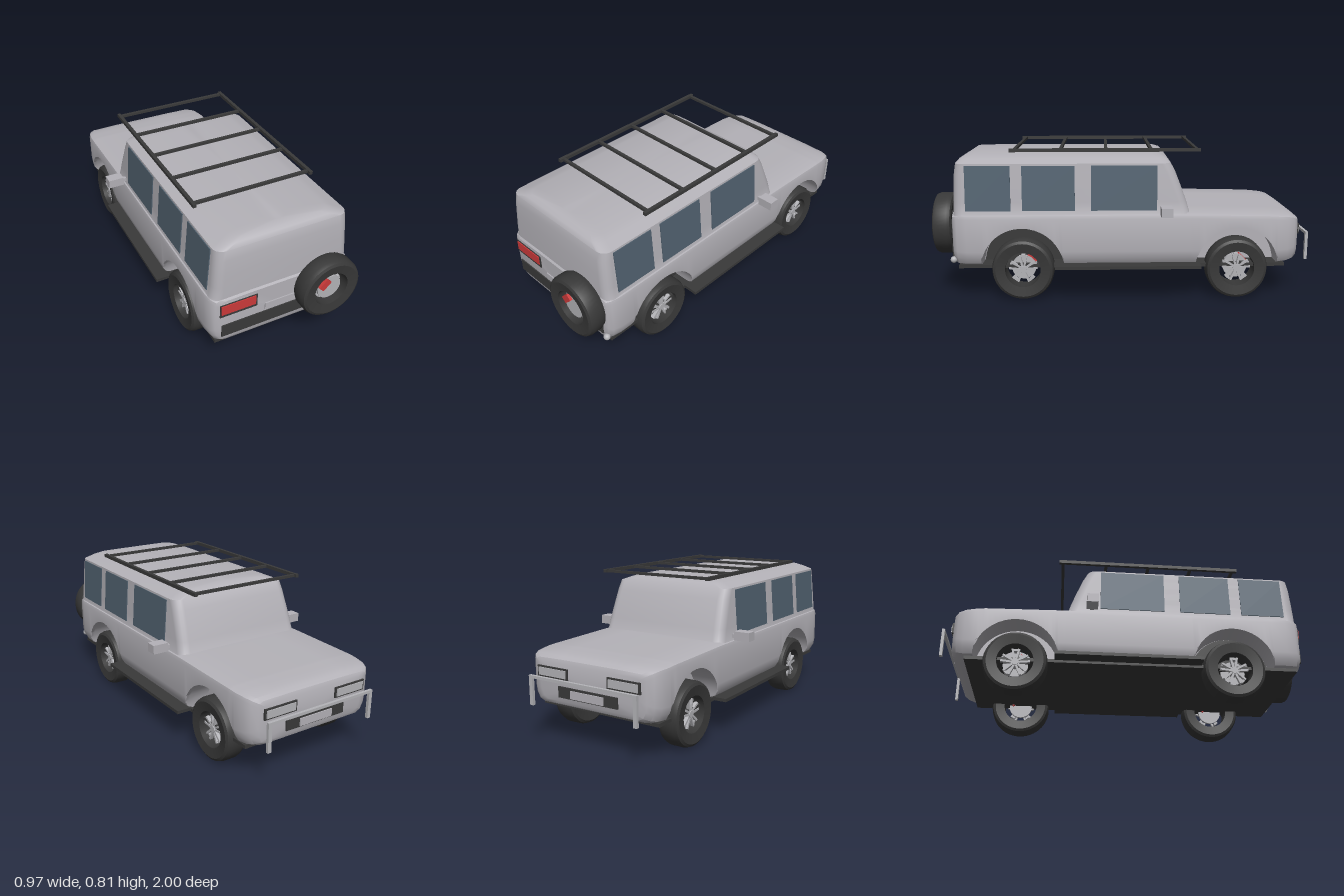
import * as THREE from 'three';
import { toCreasedNormals } from 'three/addons/utils/BufferGeometryUtils.js';

const mat = (name, color, side = THREE.FrontSide) => {
  const m = new THREE.MeshStandardMaterial({ color, side });
  m.name = name;
  return m;
};

// skin a list of closed rings and cap both ends
function loft(rings) {
  const n = rings[0].length, pos = [], idx = [];
  rings.forEach(r => r.forEach(p => pos.push(...p)));
  for (let i = 0; i < rings.length - 1; i++) {
    for (let j = 0; j < n; j++) {
      const k = (j + 1) % n;
      const a = i * n + j, b = i * n + k, c = b + n, d = a + n;
      idx.push(a, b, c, a, c, d);
    }
  }
  [0, rings.length - 1].forEach(e => {
    const c = pos.length / 3;
    pos.push(...[0, 1, 2].map(q => rings[e].reduce((s, p) => s + p[q], 0) / n));
    for (let j = 0; j < n; j++) {
      const a = e * n + j, b = e * n + (j + 1) % n;
      idx.push(...(e ? [c, a, b] : [c, b, a]));
    }
  });
  const g = new THREE.BufferGeometry();
  g.setAttribute('position', new THREE.Float32BufferAttribute(pos, 3));
  g.setIndex(idx);
  return toCreasedNormals(g, 0.6);
}

export function createModel() {
  const paint = mat('body paint', 0xb4b2b8);
  const dark = mat('dark trim', 0x3a3a3a);
  const rubber = mat('tyre rubber', 0x383838);
  const metal = mat('light metal', 0xb4b4b8);
  const glass = mat('window glass', 0x526270);
  const red = mat('red', 0xcc3a3a);

  const car = new THREE.Group();
  const add = (parent, name, geo, m, x = 0, y = 0, z = 0) => {
    const mesh = new THREE.Mesh(geo, m);
    mesh.name = name;
    mesh.position.set(x, y, z);
    parent.add(mesh);
    return mesh;
  };
  const box = (name, m, x0, x1, y0, y1, z0, z1) => add(car, name,
    new THREE.BoxGeometry(x1 - x0, y1 - y0, z1 - z0), m,
    (x0 + x1) / 2, (y0 + y1) / 2, (z0 + z1) / 2);

  // lower body: cross-sections along z, lifted over the wheels
  const wheelZ = [-0.61, 0.53], archR = 0.218, archY = 0.176;
  const keys = [ // z, half width, bottom, top
    [-0.945, 0.30, 0.23, 0.415], [-0.937, 0.335, 0.212, 0.435], [-0.915, 0.362, 0.2, 0.448],
    [-0.88, 0.377, 0.19, 0.456], [-0.83, 0.387, 0.187, 0.46], [-0.78, 0.39, 0.187, 0.464],
    [-0.36, 0.39, 0.187, 0.472], [0.82, 0.39, 0.187, 0.472], [0.87, 0.38, 0.189, 0.47],
    [0.89, 0.365, 0.198, 0.465], [0.898, 0.345, 0.215, 0.455]];
  const zs = keys.map(k => k[0]);
  wheelZ.forEach(c => {
    for (let i = 0; i <= 20; i++) zs.push(c - archR * Math.cos(Math.PI * i / 20));
  });
  zs.sort((a, b) => a - b);
  const bodyRings = zs.map(z => {
    let i = 0;
    while (i < keys.length - 2 && z > keys[i + 1][0]) i++;
    const f = (z - keys[i][0]) / (keys[i + 1][0] - keys[i][0]);
    const [w, b, t] = [1, 2, 3].map(q => THREE.MathUtils.lerp(keys[i][q], keys[i + 1][q], f));
    const s = w / 0.39;
    const up = y => Math.max(y, ...wheelZ.map(c =>
      archY + Math.sqrt(Math.max(0, archR ** 2 - (z - c) ** 2))));
    const half = [[0, b], [0.25 * s, b], [0.2501 * s, up(b)], [0.33 * s, up(b)],
      [0.365 * s, up(b + 0.013)], [0.384 * s, up(b + 0.045)], [w, up(b + 0.08)],
      [w, t - 0.03], [0.385 * s, t - 0.012], [0.36 * s, t - 0.003], [0.2 * s, t], [0, t]];
    const left = half.slice(1, -1).reverse().map(([x, y]) => [-x, y]);
    return half.concat(left).map(([x, y]) => [x, y, z]);
  });
  add(car, 'lowerBody', loft(bodyRings), paint);

  // cabin: rounded rectangles stacked upwards
  const cabinRings = [ // y, half width, front z, back z
    [0.45, 0.383, -0.368, 0.89], [0.47, 0.375, -0.355, 0.89], [0.53, 0.3704, -0.337, 0.889],
    [0.6, 0.365, -0.311, 0.886], [0.68, 0.3588, -0.28, 0.882], [0.73, 0.355, -0.254, 0.874],
    [0.75, 0.3, -0.235, 0.86], [0.763, 0.26, -0.205, 0.84], [0.771, 0.06, -0.17, 0.81],
  ].map(([y, w, zf, zb]) => {
    const r = 0.05, ring = [];
    for (let q = 0; q < 4; q++) {
      for (let i = 0; i <= 5; i++) {
        const a = (q + i / 5) * Math.PI / 2;
        const cx = (q < 2 ? 1 : -1) * (w - r);
        const cz = q === 0 || q === 3 ? zb - r : zf + r;
        ring.push([cx + r * Math.sin(a), y, cz + r * Math.cos(a)]);
      }
    }
    return ring;
  });
  add(car, 'cabin', loft(cabinRings), paint);

  // underside plate
  box('underside', dark, -0.355, 0.355, 0.172, 0.19, -0.87, 0.87);

  // wheel: lathed tyre, five forked spokes, brake disc and caliper
  const tyreGeo = toCreasedNormals(new THREE.LatheGeometry(
    [[0.094, -0.05], [0.145, -0.058], [0.158, -0.05], [0.165, -0.03], [0.165, 0.03],
      [0.158, 0.05], [0.145, 0.058], [0.094, 0.05], [0.094, -0.05]]
      .map(p => new THREE.Vector2(...p)), 48), 0.6).rotateZ(-Math.PI / 2);
  const discGeo = new THREE.CylinderGeometry(0.065, 0.065, 0.015, 32).rotateZ(Math.PI / 2);
  const hubGeo = new THREE.CylinderGeometry(0.018, 0.024, 0.05, 16).rotateZ(-Math.PI / 2);
  const spokeGeo = new THREE.BoxGeometry(0.018, 0.062, 0.011);
  const footGeo = new THREE.BoxGeometry(0.03, 0.012, 0.022);
  const makeWheel = name => {
    const g = new THREE.Group();
    g.name = name;
    add(g, 'tyre', tyreGeo, rubber);
    add(g, 'brakeDisc', discGeo, metal, -0.02);
    add(g, 'hub', hubGeo, metal, 0.01);
    for (let i = 0; i < 5; i++) {
      const arm = new THREE.Group();
      arm.name = 'spoke';
      arm.rotation.x = i * Math.PI * 2 / 5;
      for (const s of [-1, 1]) {
        add(arm, 'spokeFork', spokeGeo, metal, 0.022, 0.043, s * 0.011).rotation.x = s * 0.2;
      }
      add(arm, 'spokeFoot', footGeo, metal, 0.008, 0.07, 0);
      g.add(arm);
    }
    add(g, 'caliper', new THREE.BoxGeometry(0.025, 0.036, 0.06), red, -0.032, 0.034, -0.034)
      .rotation.x = -Math.PI / 4;
    car.add(g);
    return g;
  };
  for (const s of [-1, 1]) {
    wheelZ.forEach(z => {
      const w = makeWheel('wheel');
      w.position.set(s * 0.328, 0.165, z);
      if (s < 0) w.rotation.y = Math.PI;
    });
  }
  const spare = makeWheel('spareWheel');
  spare.position.set(0.215, 0.392, 0.95);
  spare.rotation.y = Math.PI / 2;
  spare.scale.x = 0.86;

  for (const s of [-1, 1]) {
    const span = (name, m, a, b, ...rest) =>
      box(name, m, Math.min(s * a, s * b), Math.max(s * a, s * b), ...rest);
    // side windows
    for (const [z0, z1] of [[-0.18, 0.165], [0.25, 0.525], [0.585, 0.82]]) {
      add(car, 'sideWindow', new THREE.BoxGeometry(0.008, 0.235, z1 - z0), glass,
        s * 0.3655, 0.6025, (z0 + z1) / 2).rotation.z = s * 0.077;
    }
    // dark liner inside the wheel well beside the spare
    const liner = new THREE.CylinderGeometry(0.216, 0.216, 0.008, 32, 1, false, 0, Math.PI);
    liner.rotateY(Math.PI / 2).rotateX(-Math.PI / 2).rotateY(Math.PI / 2);
    add(car, 'wellLiner', new THREE.ExtrudeGeometry(
      new THREE.Shape().absarc(0, 0, 0.214, 0, Math.PI), { depth: 0.006, bevelEnabled: false, curveSegments: 24 })
      .rotateY(Math.PI / 2), dark, s * 0.254 - 0.003, archY, wheelZ[1]);
    // running boards and mirrors
    span('runningBoard', dark, 0.36, 0.44, 0.183, 0.2, -0.41, 0.355);
    span('mirror', paint, 0.397, 0.483, 0.468, 0.515, -0.255, -0.195);
    span('mirrorArm', paint, 0.36, 0.4, 0.475, 0.495, -0.235, -0.215);
    // lamps on both ends
    span('tailLampFrame', dark, 0.145, 0.345, 0.36, 0.434, 0.88, 0.902);
    span('tailLamp', red, 0.155, 0.338, 0.378, 0.43, 0.9, 0.907);
    span('headlampFrame', dark, 0.12, 0.31, 0.34, 0.395, -0.952, -0.92);
    span('headlamp', metal, 0.13, 0.3, 0.348, 0.387, -0.957, -0.95);
    // guard posts and roof rails
    span('guardPost', metal, 0.305, 0.325, 0.2, 0.352, -1, -0.985);
    span('rackRail', dark, 0.314, 0.332, 0.788, 0.806, -0.41, 0.59);
  }
  box('guardBar', metal, -0.315, 0.315, 0.338, 0.352, -1, -0.985);
  for (const z of [-0.39, -0.15, 0.087, 0.325, 0.565]) {
    box('rackCrossbar', dark, -0.323, 0.323, 0.79, 0.804, z - 0.008, z + 0.008);
  }

  // bumper strips, plates and tailpipe ball
  box('tailBumper', dark, -0.335, 0.335, 0.235, 0.304, 0.88, 0.904);
  box('tailPlate', paint, -0.1, 0.1, 0.314, 0.355, 0.89, 0.904);
  box('grille', dark, -0.18, 0.18, 0.25, 0.305, -0.953, -0.92);
  box('nosePlate', paint, -0.1, 0.1, 0.255, 0.295, -0.958, -0.95);
  add(car, 'towBall', new THREE.SphereGeometry(0.018, 20, 14), metal, 0.353, 0.22, 0.895);
  return car;
}
